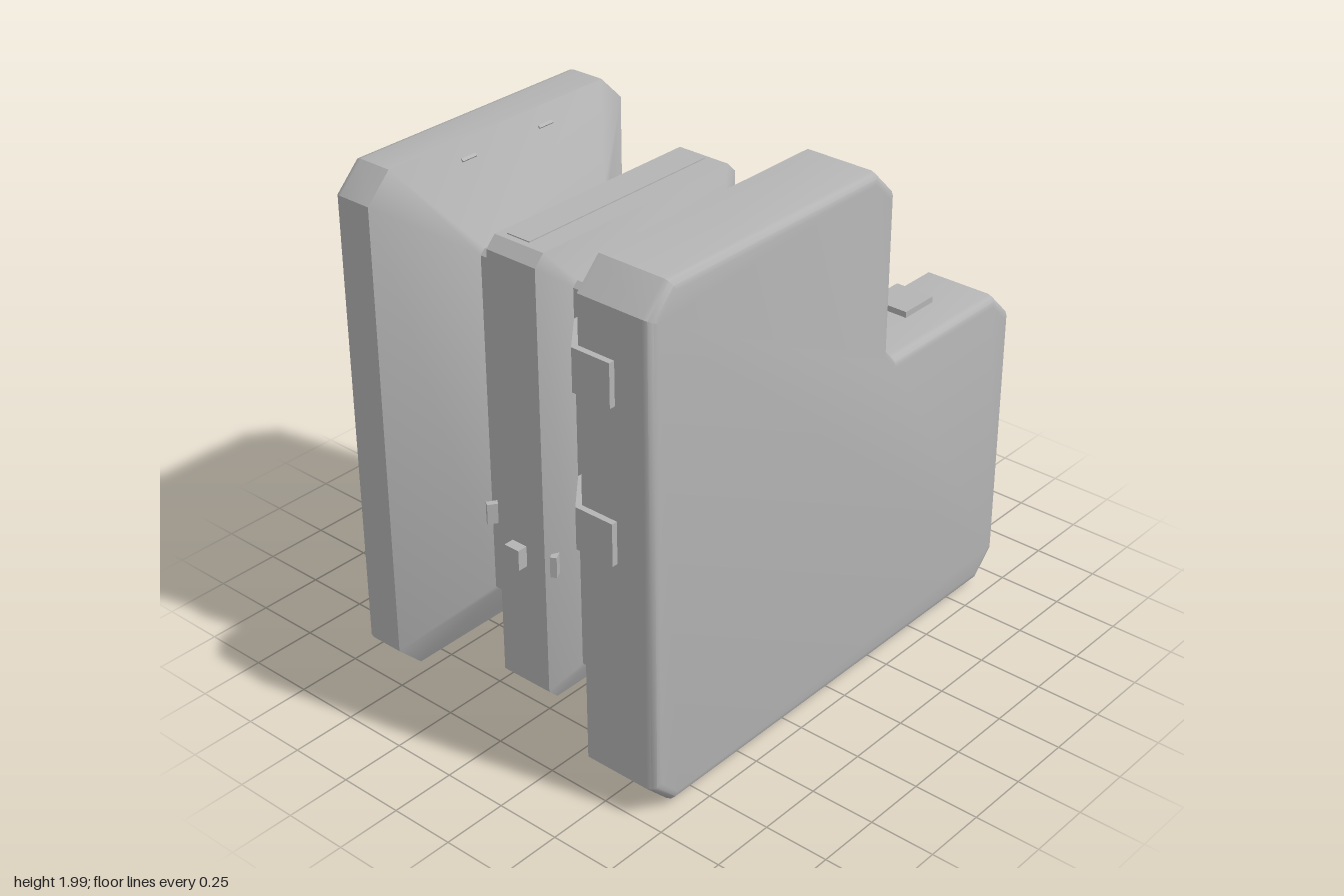
import * as THREE from 'three';
import { toCreasedNormals } from 'three/addons/utils/BufferGeometryUtils.js';

// L-shaped outline, counter-clockwise, pulled in by d
function outline(d) {
  const L = -0.975 + d, R = 0.995 - d, B = 0.032 + d, T = 2 - d;
  const SX = 0.25 - d, SY = 1.257 - d;            // inner corner of the L
  const c = Math.max(0.1 - 0.5 * d, 0.02);        // corner chamfer
  return [
    [L + c, B], [R - c, B], [R, B + c], [R, SY - c], [R - c, SY],
    [0.29, SY], [SX, 1.3],
    [SX, T - c], [SX - c, T], [L + c, T], [L, T - c], [L, B + c],
  ].map(([x, y]) => new THREE.Vector2(x, y));
}

// Lofts the outline through [z, inset] stations, front to back, with end caps
function loft(stations) {
  const pos = [], idx = [], n = 12;
  for (const [z, d] of stations) for (const p of outline(d)) pos.push(p.x, p.y, z);
  for (let s = 0; s < stations.length - 1; s++) {
    for (let i = 0; i < n; i++) {
      const j = (i + 1) % n, a = s * n + i, b = s * n + j, c = a + n, e = b + n;
      idx.push(a, c, b, b, c, e);
    }
  }
  const last = (stations.length - 1) * n;
  for (const [a, b, c] of THREE.ShapeUtils.triangulateShape(outline(stations[0][1]), [])) {
    idx.push(a, b, c, last + a, last + c, last + b);
  }
  const g = new THREE.BufferGeometry();
  g.setAttribute('position', new THREE.Float32BufferAttribute(pos, 3));
  g.setIndex(idx);
  return toCreasedNormals(g, 0.62);
}

export function createModel() {
  const root = new THREE.Group();
  root.name = 'steppedBlock';
  const grey = new THREE.MeshStandardMaterial({ color: 0xb4b4b4 });
  grey.name = 'plain grey';

  const add = (name, geometry) => {
    const m = new THREE.Mesh(geometry, grey);
    m.name = name;
    root.add(m);
    return m;
  };
  const box = (name, x0, x1, y0, y1, z0, z1) => {
    const m = add(name, new THREE.BoxGeometry(x1 - x0, y1 - y0, z1 - z0));
    m.position.set((x0 + x1) / 2, (y0 + y1) / 2, (z0 + z1) / 2);
    return m;
  };

  // Thick plates front and back with a waisted core between them
  const soft = [[0.7, 0.036], [0.696, 0.018], [0.682, 0.005], [0.664, 0]];
  add('body', loft([
    ...soft,
    [0.4, 0], [0.205, 0.23], [0.165, 0.23], [0.105, 0.12],
    [-0.11, 0.12], [-0.29, 0.3], [-0.325, 0.3], [-0.53, 0],
    ...soft.map(([z, d]) => [-z, d]).reverse(),
  ]));

  // Ramp filling the inner corner of the core
  const ramp = new THREE.Shape([[0.11, 1.125], [0.318, 1.125], [0.318, 1.14], [0.135, 1.327], [0.11, 1.327]]
    .map(([x, y]) => new THREE.Vector2(x, y)));
  const rampGeo = new THREE.ExtrudeGeometry(ramp, { depth: 0.175, bevelEnabled: false });
  rampGeo.translate(0, 0, -0.11);
  add('cornerRamp', rampGeo);

  // Bent pads wrapping from the front plate's rim on to its inner slope
  const profile = new THREE.Shape([[0.55, -0.01], [0.55, 0.023], [0.392, 0.023],
    [0.27, -0.121], [0.27, -0.165], [0.4, -0.01]].map(([x, y]) => new THREE.Vector2(x, y)));
  const pad = (x, y, out) => {
    const g = new THREE.ExtrudeGeometry(profile, { depth: 0.16, bevelEnabled: false });
    g.translate(0, 0, -0.08);
    const front = new THREE.Vector3(0, 0, 1);
    g.applyMatrix4(new THREE.Matrix4().makeBasis(front, out, front.clone().cross(out)));
    add('pad', g).position.set(x, y, 0);
  };
  const left = new THREE.Vector3(-1, 0, 0), right = new THREE.Vector3(1, 0, 0);
  const up = new THREE.Vector3(0, 1, 0), down = new THREE.Vector3(0, -1, 0);
  for (const y of [1.06, 1.64]) pad(-0.975, y, left);
  for (const x of [0.05, 0.63]) pad(x, 0.032, down);
  pad(0.25, 1.64, right);
  pad(0.63, 1.257, up);

  // Thin strips along the rim of the core
  box('topStrip', -0.79, 0.07, 1.878, 1.884, -0.08, 0.02);
  box('sideStrip', 0.873, 0.879, 0.22, 1.08, -0.08, 0.02);

  // Small blocks and clips under and beside the core
  box('sideCatch', -0.895, -0.85, 0.68, 0.76, -0.045, 0.02);
  box('lowerCatch', -0.04, 0.04, 0.112, 0.16, -0.045, 0.02);
  for (const [z, d, tilt] of [[0.125, 0.155, 0.5], [-0.262, 0.25, -0.6]]) {
    box('lowerClip', -0.04, 0.04, d + 0.01, d + 0.06, z - 0.012, z + 0.012).rotation.x = tilt;
    box('sideClip', -0.975 + d - 0.03, -0.975 + d + 0.02, 0.68, 0.76, z - 0.012, z + 0.012).rotation.y = tilt;
  }

  // Small ticks set on the inner slope of the back plate
  const slope = Math.atan2(0.3, 0.205), inset = 0.055;
  for (const x of [-0.55, -0.18]) {
    box('tick', x - 0.033, x + 0.033, 2 - inset - 0.006, 2 - inset + 0.006, -0.493, -0.487).rotation.x = -slope;
  }
  box('tick', 0.445, 0.51, 1.257 - inset - 0.006, 1.257 - inset + 0.006, -0.493, -0.487).rotation.x = -slope;
  for (const [x, y] of [[0.995, 0.46], [0.995, 0.8], [0.25, 1.49]]) {
    box('tick', x - inset - 0.006, x - inset + 0.006, y - 0.033, y + 0.033, -0.493, -0.487).rotation.y = slope;
  }
  return root;
}
